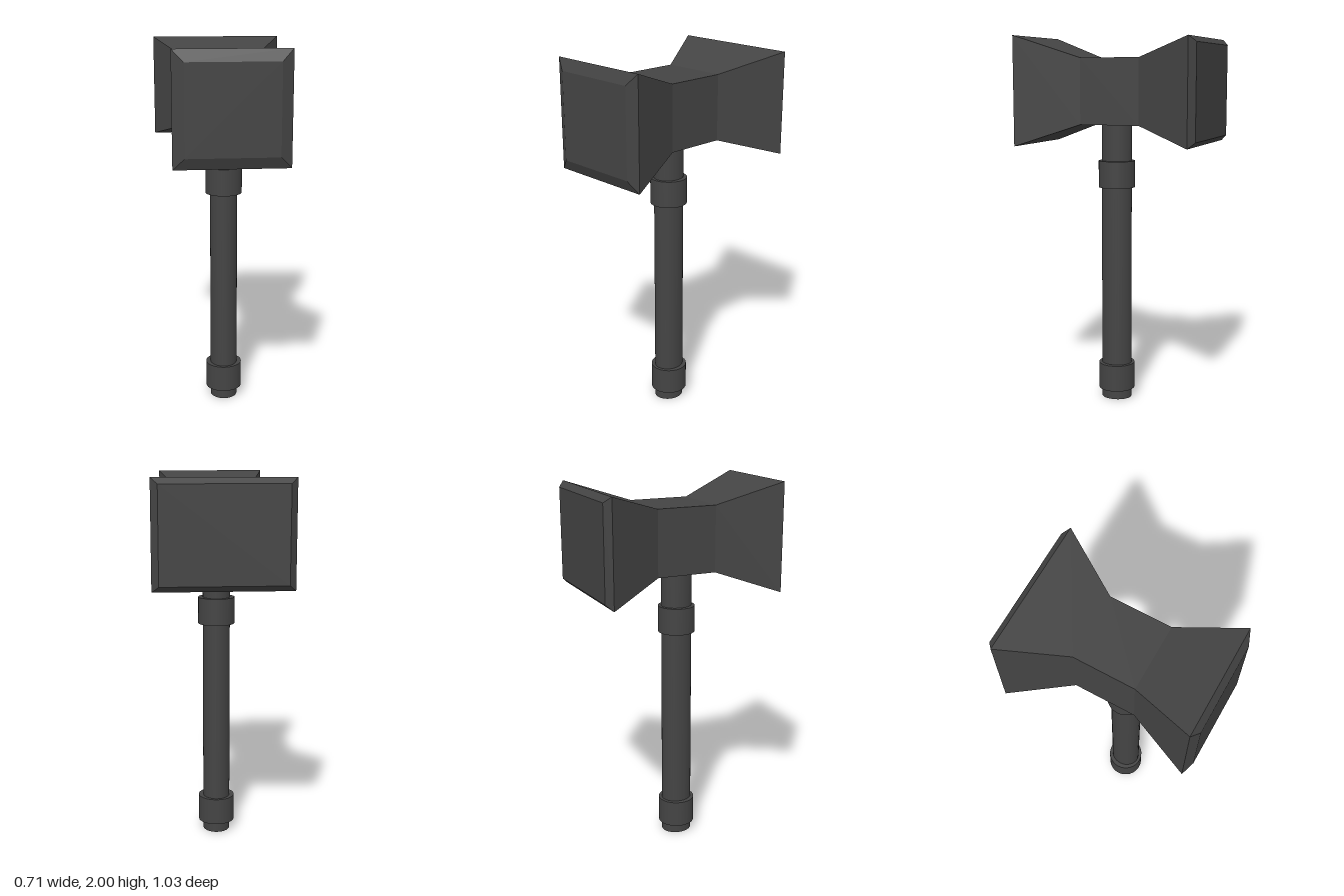
import * as THREE from 'three';

const iron = new THREE.MeshStandardMaterial({ color: 0x444444 });
iron.name = 'dark iron';

// Lofts rectangular sections [z, halfWidth, bottom, top], ordered back to front, with closed ends
function loftRects(sections) {
  const positions = [], index = [];
  for (const [z, w, y0, y1] of sections) {
    positions.push(-w, y0, z, w, y0, z, w, y1, z, -w, y1, z);
  }
  for (let k = 0; k < sections.length - 1; k++) {
    for (let j = 0; j < 4; j++) {
      const a = k * 4 + j, b = k * 4 + (j + 1) % 4;
      index.push(a, b, b + 4, a, b + 4, a + 4);
    }
  }
  const f = (sections.length - 1) * 4;
  index.push(0, 2, 1, 0, 3, 2, f, f + 1, f + 2, f, f + 2, f + 3);
  const indexed = new THREE.BufferGeometry();
  indexed.setAttribute('position', new THREE.Float32BufferAttribute(positions, 3));
  indexed.setIndex(index);
  const geometry = indexed.toNonIndexed(); // separate corners keep the facets flat
  geometry.computeVertexNormals();
  return geometry;
}

export function createModel() {
  const model = new THREE.Group();
  model.name = 'warHammer';

  const add = (name, geometry) => {
    const mesh = new THREE.Mesh(geometry, iron);
    mesh.name = name;
    model.add(mesh);
    return mesh;
  };

  // Head: wide back face, square waist, smaller bevelled front face
  add('head', loftRects([
    [-0.515, 0.32, 1.465, 1.955],
    [-0.482, 0.355, 1.435, 1.985],
    [-0.17, 0.176, 1.535, 1.885],
    [0.155, 0.176, 1.535, 1.885],
    [0.487, 0.293, 1.42, 2.0],
    [0.515, 0.235, 1.48, 1.94],
  ]));

  // Round handle parts, slightly forward of centre
  const rod = (name, rx, rz, y0, y1) => {
    const mesh = add(name, new THREE.CylinderGeometry(1, 1, y1 - y0, 32).scale(rx, 1, rz));
    mesh.position.set(0, (y0 + y1) / 2, 0.014);
  };
  rod('handle', 0.074, 0.083, 0, 1.56);
  rod('lowerCollar', 0.099, 0.099, 0.053, 0.199);
  rod('upperCollar', 0.099, 0.099, 1.19, 1.335);

  return model;
}
